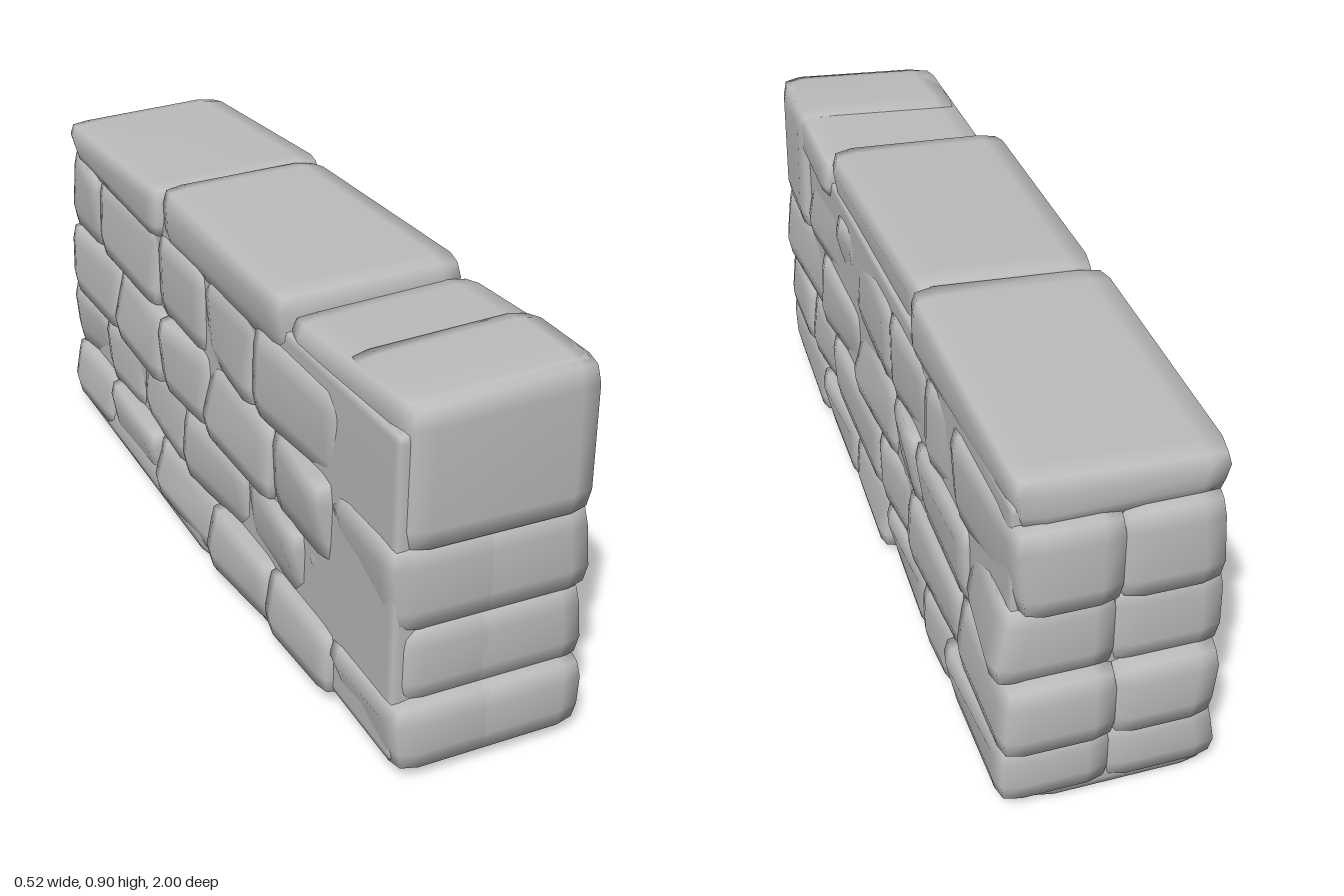
import * as THREE from 'three';
import { mergeVertices } from 'three/addons/utils/BufferGeometryUtils.js';

// small seeded generator for the uneven faces
let seed = 7;
const rand = () => {
  seed = (seed * 16807) % 2147483647;
  return (seed / 2147483647) * 2 - 1;
};

// smooth pillow-shaped block; top = heights added at the z0 and z1 ends,
// lean = rise towards +x, rough = tilt of the side faces
function stoneGeometry([x0, x1], [y0, y1], [z0, z1], { bevel = 0.055, rough = 0.01, top = [0, 0], lean = 0 } = {}) {
  let g = new THREE.BoxGeometry(2, 2, 2, 3, 3, 3);
  g.deleteAttribute('uv');
  g.deleteAttribute('normal');
  g = mergeVertices(g);
  const p = g.attributes.position;
  const half = [(x1 - x0) / 2, (y1 - y0) / 2, (z1 - z0) / 2];
  const mid = [(x1 + x0) / 2, (y1 + y0) / 2, (z1 + z0) / 2];
  const tiltY = rand() * rough, tiltZ = rand() * rough, twist = rand() * rough * 0.6;
  for (let i = 0; i < p.count; i++) {
    const u = [p.getX(i), p.getY(i), p.getZ(i)];
    const extremes = u.filter((c) => Math.abs(c) > 0.9).length;
    const pull = [0, 0, 0.17, 0.28][extremes];
    const v = u.map((c, k) => {
      const b = Math.min(bevel, half[k] * 0.6);
      const inset = Math.abs(c) > 0.9 ? b * pull : b;
      return mid[k] + Math.sign(c) * (half[k] - inset);
    });
    const s = Math.sign(u[1]), t = Math.sign(u[2]);
    const out = Math.abs(v[0]) > 0.1 ? Math.sign(v[0]) : 0;
    v[0] += out * (tiltY * s + tiltZ * t + twist * s * t - rough * 0.9);
    if (u[1] > 0) v[1] += THREE.MathUtils.mapLinear(v[2], z0, z1, ...top) + lean * Math.sign(u[0]);
    p.setXYZ(i, ...v);
  }
  g.computeVertexNormals();
  return g;
}

export function createModel() {
  const wall = new THREE.Group();
  wall.name = 'stoneWall';
  const stone = new THREE.MeshStandardMaterial({ color: 0xbcbcbc });
  stone.name = 'grey stone';

  const add = (name, x, y, z, options) => {
    const mesh = new THREE.Mesh(stoneGeometry(x, y, z, options), stone);
    mesh.name = name;
    wall.add(mesh);
  };

  // solid filling that closes the joints
  add('core', [-0.208, 0.22], [0.04, 0.8], [-0.955, 0.962], { rough: 0, bevel: 0.02 });

  // uneven footing under the wall
  add('footing', [-0.24, 0.17], [0.002, 0.1], [-0.96, 0.05], { rough: 0.004 });
  add('footing', [-0.228, 0.165], [0.014, 0.1], [-0.1, 0.42], { rough: 0.004 });

  // courses from the ground up: height, faces and joints along z on either side
  const courses = [
    { y: [0.026, 0.196], left: 0.257, right: -0.257, corner: -0.222, back: -0.975, front: 1,
      leftJoints: [-0.6, -0.4, -0.08, 0.23, 0.56], rightJoints: [-0.66, -0.3, 0.08, 0.4, 0.7] },
    { y: [0.175, 0.37], left: 0.254, right: -0.24, corner: -0.205, back: -1, front: 0.975,
      leftJoints: [-0.66, -0.27, -0.02, 0.45, 0.7], rightJoints: [-0.72, -0.45, -0.12, 0.25, 0.55] },
    { y: [0.35, 0.56], left: 0.253, right: -0.25, corner: -0.22, back: -0.97, front: 0.975,
      leftJoints: [-0.7, -0.35, -0.15, 0.2, 0.56], rightJoints: [-0.6, -0.25, 0.02, 0.4, 0.68] },
    { y: [0.54, 0.765], left: 0.243, right: -0.235, corner: -0.205, back: -1, front: 0.97,
      leftJoints: [-0.6, -0.4, -0.12, 0.22, 0.37, 0.7], rightJoints: [-0.74, -0.3, 0, 0.3, 0.7] },
  ];
  courses.forEach(({ y, left, right, corner, back, front, leftJoints, rightJoints }, row) => {
    for (const [face, joints] of [[left, leftJoints], [right, rightJoints]]) {
      const side = Math.sign(face);
      const ends = [back, ...joints, front];
      const last = ends.length - 2;
      for (let i = 0; i <= last; i++) {
        if (row === 3 && i === last) continue; // the tall front block stands here
        const atCorner = i === last && side < 0;
        const outer = atCorner ? corner : face - side * Math.abs(rand()) * 0.012;
        const inner = -side * (i === last ? 0.06 : 0.01);
        const x = side > 0 ? [inner, outer] : [outer, inner];
        const z = [ends[i] - 0.01, ends[i + 1] + 0.01].map((e) => THREE.MathUtils.clamp(e, back, front));
        add('wallStone', x, y, z);
      }
    }
  });

  // tall block at the front end, flush with the first capstone
  add('frontBlock', [-0.2, 0.243], [0.535, 0.872], [0.69, 0.98], { rough: 0.005, lean: 0.009 });

  // capstones
  const cap = { rough: 0.005, bevel: 0.06 };
  add('capstone', [-0.205, 0.238], [0.75, 0.86], [0.445, 0.962], { ...cap, top: [-0.012, 0.014], lean: 0.009 });
  add('capstone', [-0.225, 0.218], [0.73, 0.891], [-0.28, 0.46], { ...cap, top: [0.003, 0], lean: 0.006 });
  add('capstone', [-0.235, 0.228], [0.74, 0.868], [-0.975, -0.265], { ...cap, top: [-0.01, 0.02], lean: 0.009 });
  return wall;
}
